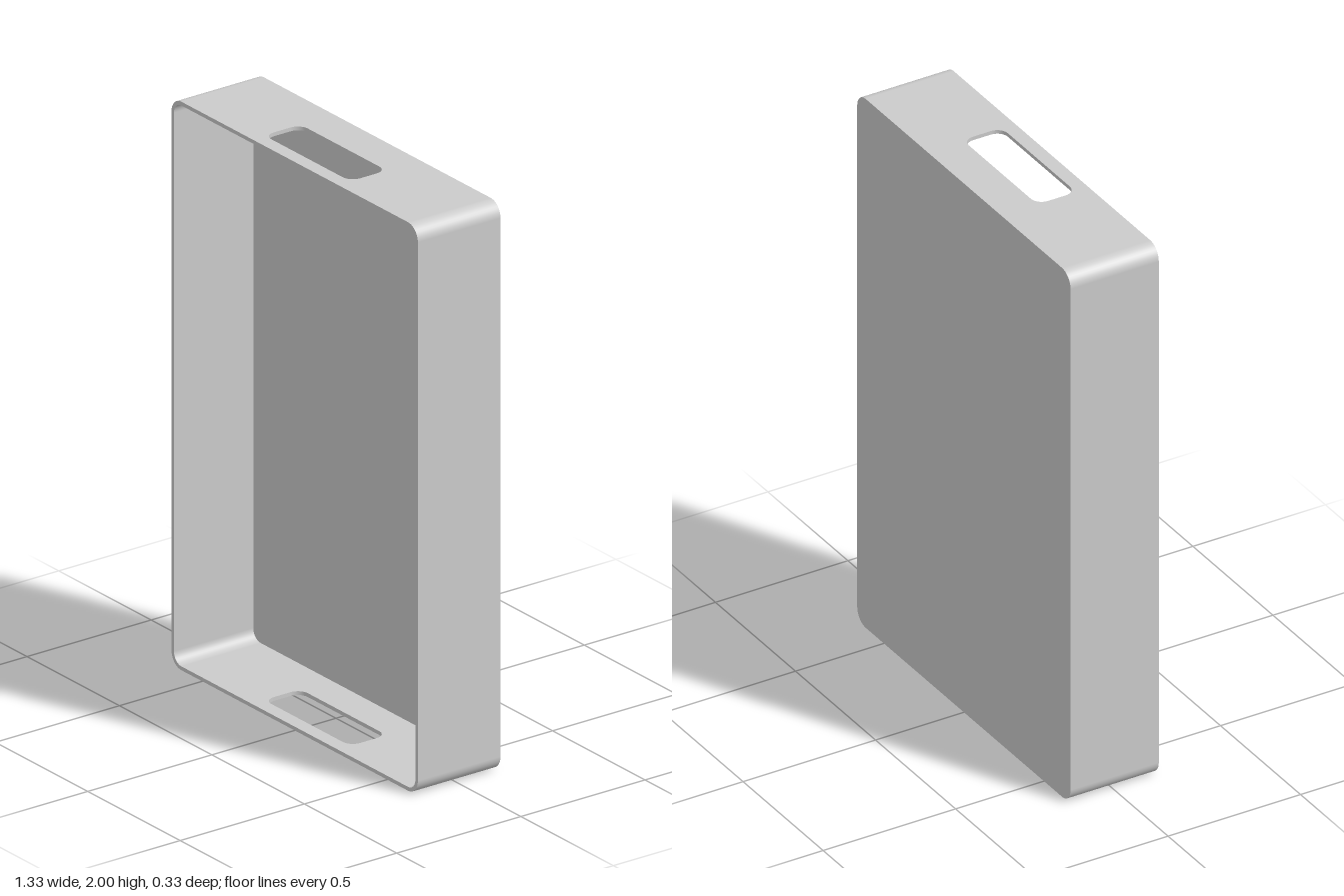
import * as THREE from 'three';
import { mergeGeometries } from 'three/addons/utils/BufferGeometryUtils.js';

const W = 1.333, H = 2, D = 0.333, R = 0.053; // outer size and corner radius
const T = 0.0135;                             // wall thickness
const SLOT = { w: 0.467, h: 0.147, r: 0.04, z: 0.043 };
const STEPS = 10;

// Clockwise rounded rectangle, starting at the top right corner.
function outline(w, h, r, corners = 4) {
  const centres = [[1, 1], [1, -1], [-1, -1], [-1, 1]];
  const pts = [];
  for (let c = 0; c < corners; c++) {
    for (let i = 0; i <= STEPS; i++) {
      const a = Math.PI / 2 * (1 - c - i / STEPS);
      const nx = Math.cos(a), ny = Math.sin(a);
      pts.push({
        x: centres[c][0] * (w / 2 - r) + r * nx,
        y: centres[c][1] * (h / 2 - r) + r * ny, nx, ny
      });
    }
  }
  if (corners === 4) pts.push(pts[0]);
  return pts;
}

const points2 = (pts) => pts.slice(0, -1).map((p) => new THREE.Vector2(p.x, p.y));

// Smooth wall strip along an outline, from z0 to z1, facing outward.
function strip(pts, z0, z1) {
  const pos = [], nor = [], idx = [];
  pts.forEach((p, i) => {
    pos.push(p.x, p.y, z0, p.x, p.y, z1);
    nor.push(p.nx, p.ny, 0, p.nx, p.ny, 0);
    const k = 2 * i;
    if (i < pts.length - 1) idx.push(k, k + 1, k + 2, k + 1, k + 3, k + 2);
  });
  const g = new THREE.BufferGeometry();
  g.setAttribute('position', new THREE.Float32BufferAttribute(pos, 3));
  g.setAttribute('normal', new THREE.Float32BufferAttribute(nor, 3));
  g.setIndex(idx);
  return g;
}

// Flat face in the xy plane, facing +z.
function face(shape) {
  const g = new THREE.ShapeGeometry(shape);
  g.deleteAttribute('uv');
  return g;
}

// Turn a surface inside out.
function flip(g) {
  g.setIndex(Array.from(g.index.array).reverse());
  const n = g.attributes.normal;
  for (let i = 0; i < n.array.length; i++) n.array[i] *= -1;
  return g;
}

// A half and its copy turned around the z axis.
const both = (g) => mergeGeometries([g, g.clone().rotateZ(Math.PI)]);

// Four walls with a handle slot at the top and bottom.
function walls(w, h, r, z0, z1) {
  const x = w / 2 - r;
  const panel = new THREE.Shape([
    new THREE.Vector2(-x, -z1), new THREE.Vector2(x, -z1),
    new THREE.Vector2(x, -z0), new THREE.Vector2(-x, -z0)
  ]);
  const slot = points2(outline(SLOT.w, SLOT.h, SLOT.r));
  slot.forEach((p) => { p.y -= SLOT.z; });
  panel.holes.push(new THREE.Path(slot));
  const end = face(panel).rotateX(-Math.PI / 2).translate(0, h / 2, 0);
  return both(mergeGeometries([strip(outline(w, h, r, 2), z0, z1), end]));
}

export function createModel() {
  const tray = new THREE.Group();
  tray.name = 'tray';
  const material = new THREE.MeshStandardMaterial({ color: 0xcccccc });
  const add = (name, geometry) => {
    const mesh = new THREE.Mesh(geometry, material);
    mesh.name = name;
    mesh.position.y = H / 2;
    tray.add(mesh);
  };
  const w = W - 2 * T, h = H - 2 * T, r = R - T;
  const back = -D / 2, front = D / 2;
  const outer = points2(outline(W, H, R)), inner = points2(outline(w, h, r));

  // Outer walls and back
  const backFace = face(new THREE.Shape(outer)).rotateY(Math.PI).translate(0, 0, back);
  add('outerShell', mergeGeometries([walls(W, H, R, back, front), backFace]));

  // Inner walls and floor
  const floor = face(new THREE.Shape(inner)).translate(0, 0, back + T);
  add('innerLining', mergeGeometries([flip(walls(w, h, r, back + T, front)), floor]));

  // Front rim
  const rim = new THREE.Shape(outer);
  rim.holes.push(new THREE.Path(inner));
  add('rim', face(rim).translate(0, 0, front));

  // Inside edges of the handle slots
  const slotEdge = flip(strip(outline(SLOT.w, SLOT.h, SLOT.r), -T, 0))
    .rotateX(-Math.PI / 2).translate(0, H / 2, SLOT.z);
  add('handleSlotEdges', both(slotEdge));

  return tray;
}
